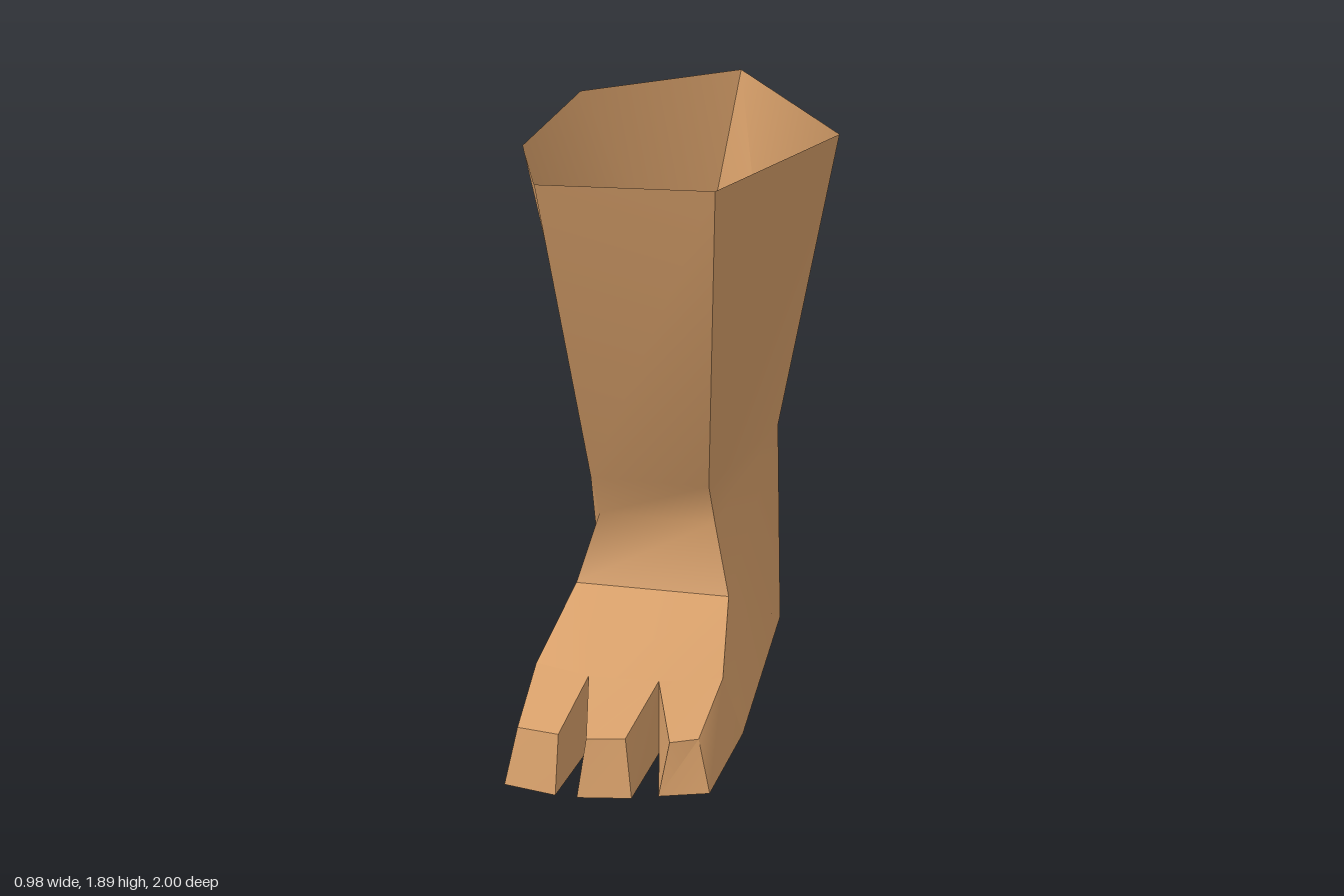
import * as THREE from 'three';
import { toCreasedNormals } from 'three/addons/utils/BufferGeometryUtils.js';

// Fan each polygon (corners anticlockwise from outside) into triangles
function polygons(name, faces, material, crease = 1.0) {
  const pos = [];
  for (const f of faces) {
    for (let i = 1; i < f.length - 1; i++) pos.push(...f[0], ...f[i], ...f[i + 1]);
  }
  const g = new THREE.BufferGeometry();
  g.setAttribute('position', new THREE.Float32BufferAttribute(pos, 3));
  g.computeVertexNormals();
  const mesh = new THREE.Mesh(toCreasedNormals(g, crease), material);
  mesh.name = name;
  return mesh;
}

export function createModel() {
  const group = new THREE.Group();
  group.name = 'foot';
  const skin = new THREE.MeshStandardMaterial({ color: 0xd8a06a, side: THREE.DoubleSide });
  skin.name = 'skin';

  // Open top rim and ankle ring: back, -x side, -x middle, two front corners, +x side
  const rim = [[0, 1.89, -1], [-0.49, 1.89, -0.55], [-0.49, 1.885, 0.2],
    [-0.33, 1.885, 0.64], [0.22, 1.89, 0.62], [0.485, 1.89, -0.13]];
  const ankle = [[-0.12, 1.05, -0.75], [-0.38, 0.76, -0.37], [-0.31, 0.77, 0.04],
    [-0.26, 0.79, 0.29], [0.14, 0.79, 0.29], [0.26, 0.76, -0.37]];
  const [back, sideL, midL, shinL, shinR, sideR] = ankle;

  // Ankle bend and instep
  const bendL = [-0.26, 0.61, 0.18], bendR = [0.14, 0.61, 0.18], lowL = [-0.3, 0.45, 0.06];
  const instepL = [-0.33, 0.37, 0.24], instepR = [0.2, 0.37, 0.24];

  // Toe roots on top and on the ground, from -x to +x
  const roots = [[-0.37, 0.255, 0.62], [-0.175, 0.265, 0.69], [0.055, 0.265, 0.68], [0.25, 0.255, 0.6]];
  const ground = [[-0.42, 0, 0.5], [-0.175, 0, 0.69], [0.055, 0, 0.68], [0.3, 0, 0.5]];

  // Sole corners
  const heel = [-0.06, 0, -0.88], soleL = [-0.39, 0, -0.37], soleR = [0.28, 0, -0.37];

  // Leg bands between ankle and rim
  const leg = rim.map((p, i) => {
    const j = (i + 1) % rim.length;
    return [ankle[i], ankle[j], rim[j], p];
  });

  const foot = [
    // heel
    [heel, soleL, sideL, back], [soleR, heel, back, sideR],
    // -x side
    [soleL, lowL, midL, sideL], [soleL, instepL, lowL], [lowL, bendL, shinL, midL],
    [lowL, instepL, bendL], [soleL, ground[0], instepL], [ground[0], roots[0], instepL],
    // front and instep
    [bendL, bendR, shinR, shinL], [instepL, instepR, bendR, bendL],
    [roots[0], roots[1], instepL], [roots[1], roots[2], instepR, instepL], [roots[2], roots[3], instepR],
    // +x side
    [instepR, soleR, sideR], [instepR, sideR, bendR], [bendR, sideR, shinR],
    [ground[3], soleR, instepR], [ground[3], instepR, roots[3]],
  ];
  group.add(polygons('legAndFoot', [...leg, ...foot], skin));

  // Flat sole
  group.add(polygons('sole', [[heel, soleR, ground[3], ground[2], ground[1], ground[0], soleL]], skin));

  // Toe tips: bottom left, bottom right, top right, top left
  const tips = [
    [[-0.385, 0, 0.97], [-0.21, 0, 1], [-0.205, 0.2, 0.965], [-0.345, 0.195, 0.94]],
    [[-0.14, 0, 1], [0.03, 0, 0.97], [0.005, 0.195, 0.94], [-0.115, 0.195, 0.965]],
    [[0.11, 0, 0.94], [0.265, 0, 0.89], [0.225, 0.18, 0.87], [0.14, 0.18, 0.91]],
  ];
  tips.forEach(([bl, br, tr, tl], i) => {
    const a = roots[i], b = roots[i + 1], ag = ground[i], bg = ground[i + 1];
    group.add(polygons('toe' + (i + 1), [
      [tl, tr, b, a], [bl, br, tr, tl],
      [ag, bl, tl, a], [br, bg, b, tr],
      [ag, bg, br, bl],
    ], skin));
  });

  return group;
}
